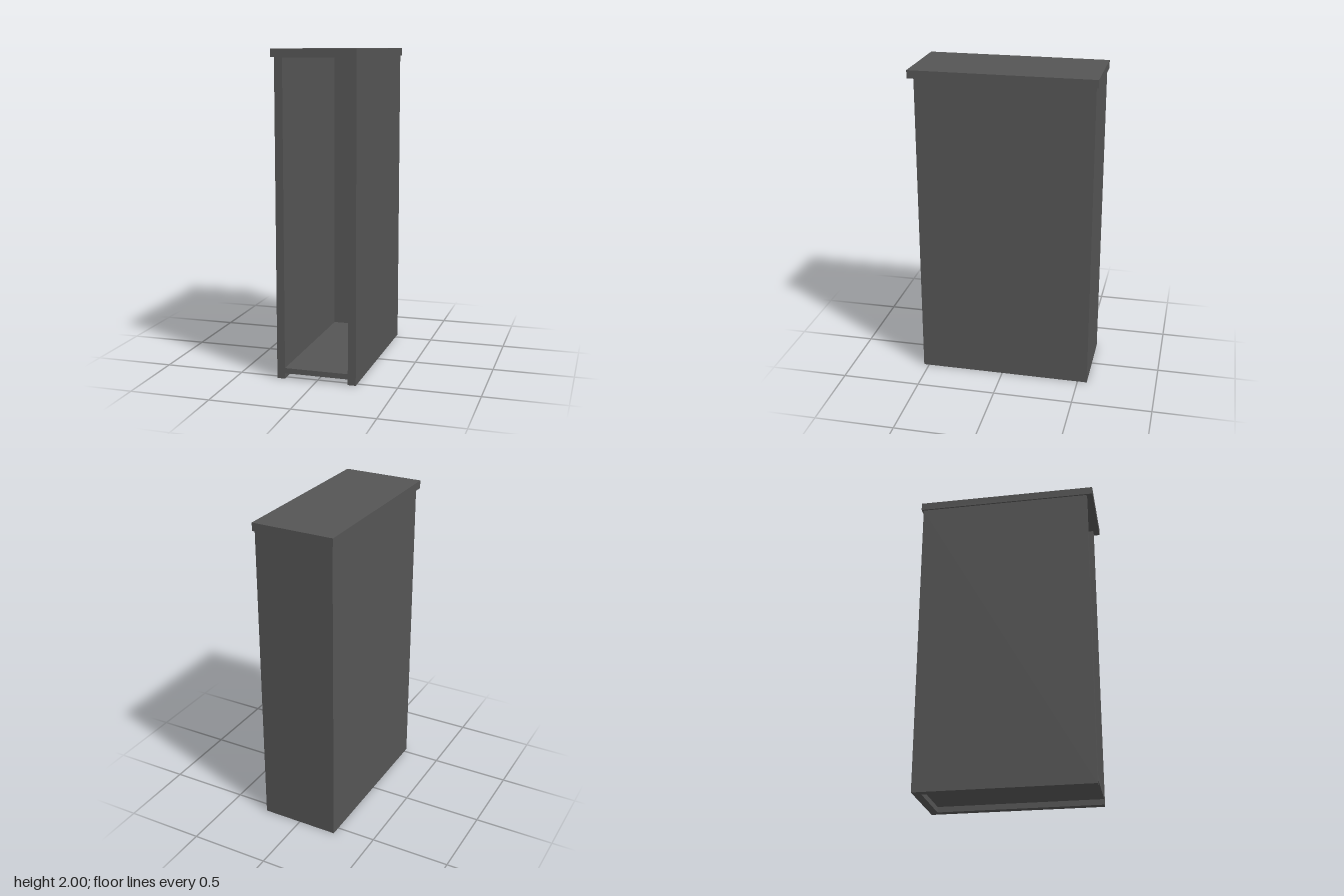
import * as THREE from 'three';

export function createModel() {
  const group = new THREE.Group();
  group.name = 'openCabinet';

  const charcoal = new THREE.MeshStandardMaterial({ color: 0x555555 });
  charcoal.name = 'charcoal';

  const halfWidth = 0.25, board = 0.05, front = 0.534, back = -0.561;
  const topY = 1.95;

  // Carcass: U-shaped plan of two sides and a back, raised to the top board
  const inner = halfWidth - board;
  const plan = new THREE.Shape([
    [-halfWidth, -front], [-inner, -front], [-inner, -back - board], [inner, -back - board],
    [inner, -front], [halfWidth, -front], [halfWidth, -back], [-halfWidth, -back],
  ].map(([x, y]) => new THREE.Vector2(x, y)));
  const carcassGeometry = new THREE.ExtrudeGeometry(plan, { depth: topY, bevelEnabled: false });
  carcassGeometry.rotateX(-Math.PI / 2);
  const carcass = new THREE.Mesh(carcassGeometry, charcoal);
  carcass.name = 'sidesAndBack';
  group.add(carcass);

  // Horizontal boards
  function addBoard(name, width, y0, y1, z0, z1) {
    const mesh = new THREE.Mesh(new THREE.BoxGeometry(width, y1 - y0, z1 - z0), charcoal);
    mesh.position.set(0, (y0 + y1) / 2, (z0 + z1) / 2);
    mesh.name = name;
    group.add(mesh);
  }
  addBoard('topBoard', 0.52, topY, 2, -0.573, 0.573);
  addBoard('bottomShelf', inner * 2, 0.035, 0.068, back + board, front);

  return group;
}
